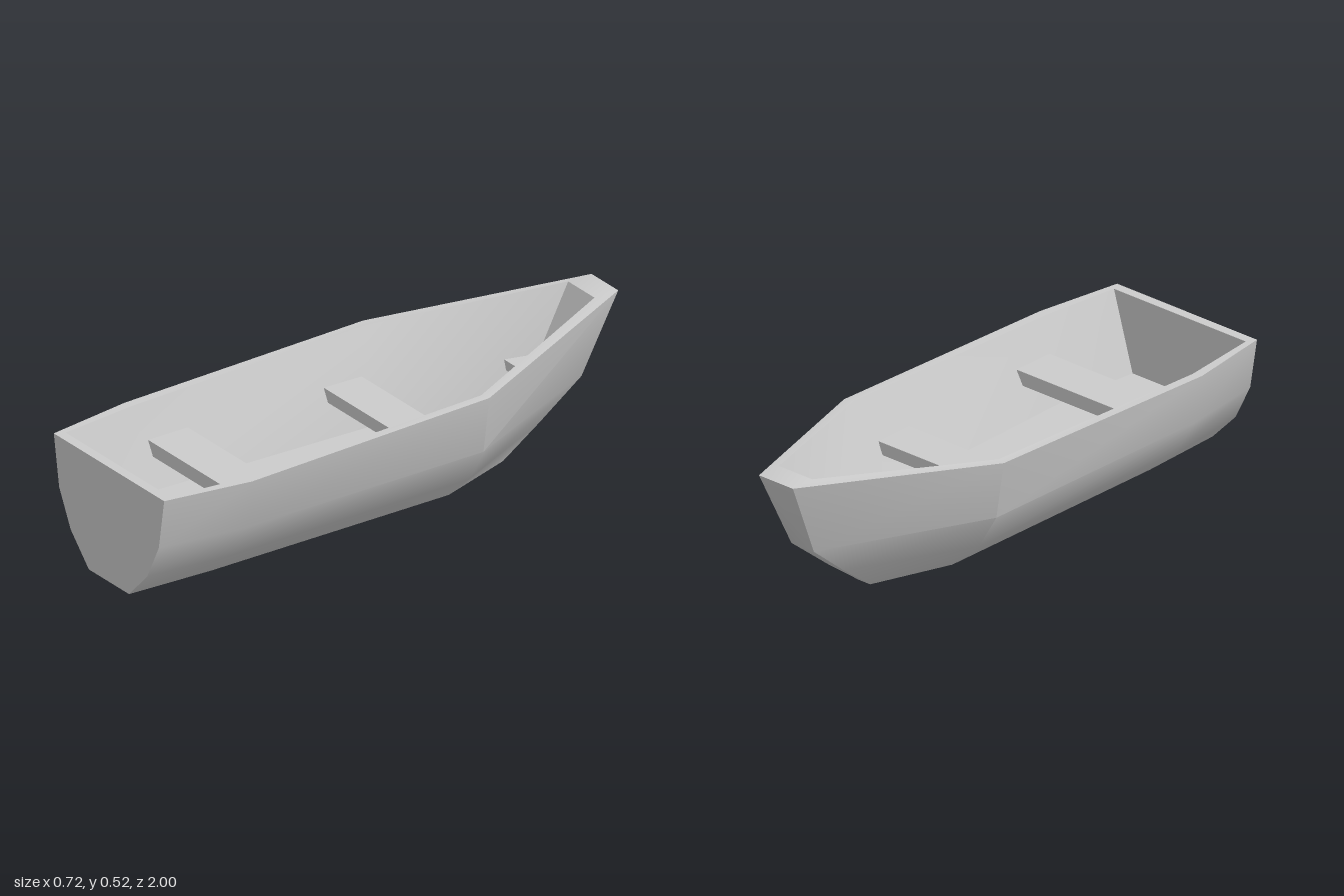
import * as THREE from 'three';
import { toCreasedNormals } from 'three/addons/utils/BufferGeometryUtils.js';

const material = new THREE.MeshStandardMaterial({ color: 0xcccccc });

// Half sections from stern to bow: keel edge, two bilge edges, outer rim, inner rim, floor edge
const stations = [
  [[0.113, 0, 1], [0.215, 0.105, 1], [0.28, 0.235, 1], [0.31, 0.418, 1], [0.292, 0.418, 0.965], [0.205, 0.14, 0.96]],
  [[0.128, 0, 0.68], [0.247, 0.105, 0.68], [0.325, 0.235, 0.68], [0.359, 0.418, 0.68], [0.326, 0.418, 0.67], [0.232, 0.14, 0.66]],
  [[0.126, 0, -0.28], [0.244, 0.105, -0.28], [0.321, 0.235, -0.28], [0.354, 0.445, -0.28], [0.322, 0.445, -0.27], [0.205, 0.14, -0.2]],
  [[0.026, 0, -0.57], [0.036, 0.105, -0.71], [0.05, 0.235, -0.87], [0.075, 0.52, -1], [0.074, 0.52, -0.905], [0.058, 0.14, -0.69]],
];

// Closed hull shell lofted through the mirrored sections
function hullGeometry() {
  const rings = stations.map((half) => [...half, ...half.map(([x, y, z]) => [-x, y, z]).reverse()]);
  const n = rings[0].length;
  const positions = [];
  const quad = (a, b, c, d) => positions.push(...a, ...b, ...c, ...a, ...c, ...d);
  for (let k = 0; k < rings.length - 1; k++) {
    for (let i = 0; i < n; i++) {
      const j = (i + 1) % n;
      quad(rings[k][i], rings[k + 1][i], rings[k + 1][j], rings[k][j]);
    }
  }
  // Transom and stem: outer strips, end rim and inner wall
  const stern = rings[0];
  const bow = rings[rings.length - 1];
  for (let i = 0; i < 5; i++) {
    const face = [i, i + 1, n - 2 - i, n - 1 - i];
    quad(...face.map((p) => stern[p]));
    quad(...face.reverse().map((p) => bow[p]));
  }
  const geometry = new THREE.BufferGeometry();
  geometry.setAttribute('position', new THREE.Float32BufferAttribute(positions, 3));
  return toCreasedNormals(geometry, 0.5);
}

// Plank with its own half width at each end and ends that slope in below
function seatGeometry({ back, front, backX, frontX, top, thickness, slope }) {
  const geometry = new THREE.BoxGeometry(2, 1, 1).toNonIndexed();
  const p = geometry.attributes.position;
  for (let i = 0; i < p.count; i++) {
    const isFront = p.getZ(i) > 0;
    const isTop = p.getY(i) > 0;
    const halfWidth = (isFront ? frontX : backX) - (isTop ? 0 : slope);
    p.setXYZ(i, Math.sign(p.getX(i)) * halfWidth, isTop ? top : top - thickness, isFront ? front : back);
  }
  geometry.computeVertexNormals();
  return geometry;
}

export function createModel() {
  const model = new THREE.Group();
  model.name = 'rowingBoat';
  const add = (name, geometry) => {
    const mesh = new THREE.Mesh(geometry, material);
    mesh.name = name;
    model.add(mesh);
  };

  add('hull', hullGeometry());
  add('sternSeat', seatGeometry({ back: 0.48, front: 0.64, backX: 0.282, frontX: 0.282, top: 0.302, thickness: 0.05, slope: 0.028 }));
  add('middleSeat', seatGeometry({ back: -0.21, front: -0.06, backX: 0.27, frontX: 0.27, top: 0.296, thickness: 0.045, slope: 0.024 }));
  add('bowSeat', seatGeometry({ back: -0.785, front: -0.66, backX: 0.06, frontX: 0.093, top: 0.298, thickness: 0.035, slope: 0.012 }));
  return model;
}
